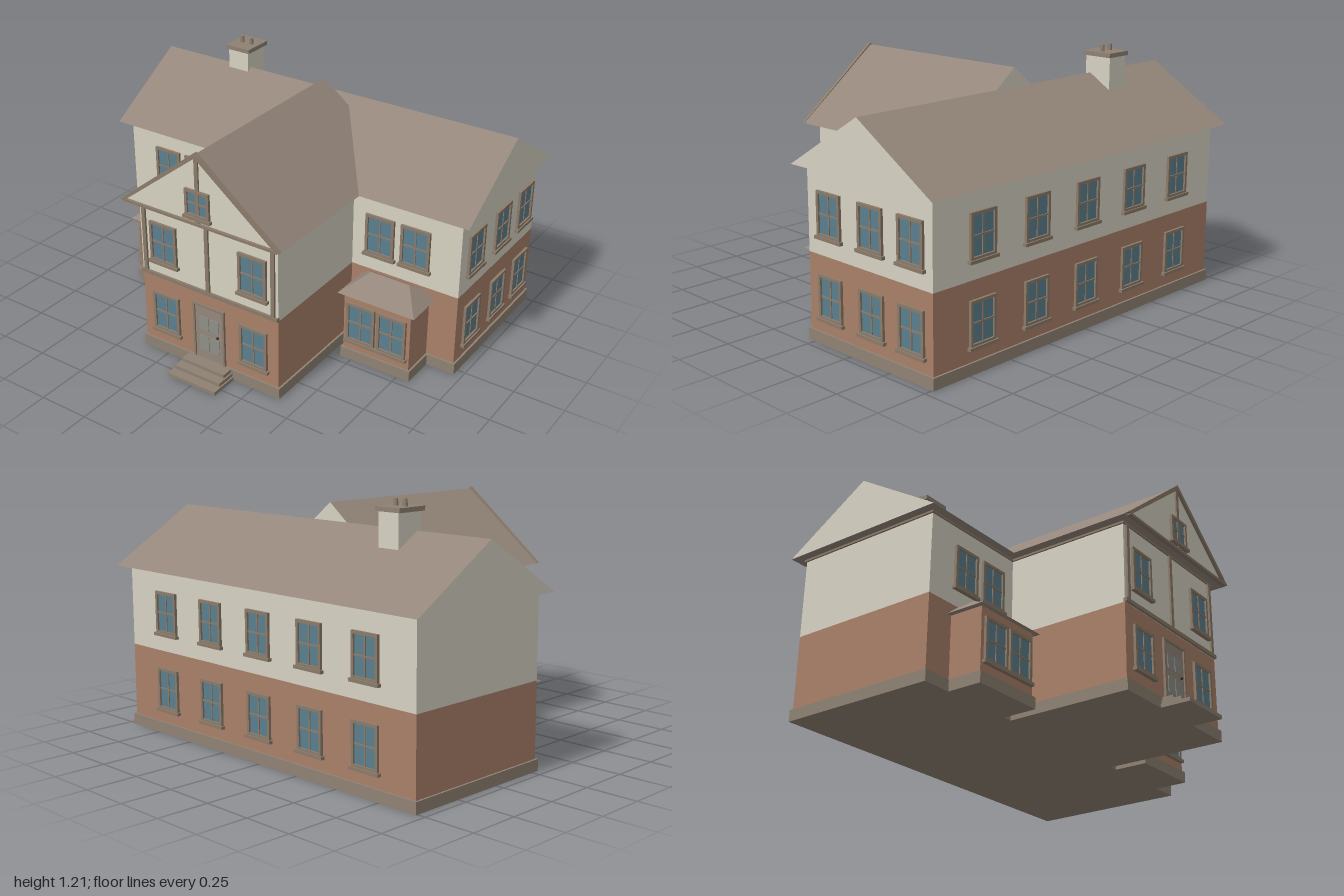
import * as THREE from 'three';
import { ConvexGeometry } from 'three/addons/geometries/ConvexGeometry.js';

const mat = (name, color) => {
  const m = new THREE.MeshStandardMaterial({ color });
  m.name = name;
  return m;
};

export function createModel() {
  const house = new THREE.Group();
  house.name = 'house';
  const brick = mat('brick', 0xa98069);
  const cream = mat('cream render', 0xd6d3c3);
  const roofing = mat('roof tile', 0x94867a);
  const trim = mat('timber trim', 0x8b7b6a);
  const stone = mat('stone', 0x8f8273);
  const glass = mat('window glass', 0x5b7f8e);
  const doorPaint = mat('door paint', 0x93877a);
  const panelPaint = mat('door panel', 0x8f9088);
  const metal = mat('dark metal', 0x3c352e);

  const add = (name, geo, material, parent = house) => {
    const m = new THREE.Mesh(geo, material);
    m.name = name;
    parent.add(m);
    return m;
  };
  // box given by its extents on each axis
  const box = (name, material, [x0, x1], [y0, y1], [z0, z1], parent) => {
    const g = new THREE.BoxGeometry(x1 - x0, y1 - y0, z1 - z0);
    g.translate((x0 + x1) / 2, (y0 + y1) / 2, (z0 + z1) / 2);
    return add(name, g, material, parent);
  };
  // extruded outline from z0 to z1
  const extrude = (points, z0, z1) => {
    const shape = new THREE.Shape(points.map(([x, y]) => new THREE.Vector2(x, y)));
    const g = new THREE.ExtrudeGeometry(shape, { depth: z1 - z0, bevelEnabled: false });
    return g.translate(0, 0, z0);
  };

  // Walls: main block and projecting front wing
  const blocks = [
    ['main', 0.95, -0.75, 0.03],
    ['wing', 0.385, -0.1, 0.645],
  ];
  for (const [n, hx, z0, z1] of blocks) {
    box(n + 'Plinth', stone, [-hx - 0.01, hx + 0.01], [0, 0.055], [z0 - 0.01, z1 + 0.01]);
    box(n + 'LowerWall', brick, [-hx, hx], [0.055, 0.412], [z0, z1]);
    box(n + 'UpperWall', cream, [-hx, hx], [0.412, 0.796], [z0, z1]);
    box(n + 'EavesBand', trim, [-hx - 0.008, hx + 0.008], [0.796, 0.806], [z0 - 0.008, z1 + 0.008]);
  }

  // Roofs: rendered gable ends, tiled slopes
  const mainRoof = extrude([[-0.44, 0.806], [0.44, 0.806], [0, 1.076]], -1, 1);
  mainRoof.rotateY(Math.PI / 2).translate(0, 0, -0.362);
  add('mainRoof', mainRoof, [cream, roofing]);
  add('wingRoof', extrude([[-0.44, 0.806], [0.44, 0.806], [0, 1.152]], -0.305, 0.698), [cream, roofing]);

  // Gable timbers
  add('bargeboards', extrude([[-0.44, 0.808], [-0.415, 0.808], [0, 1.134], [0.415, 0.808],
    [0.44, 0.808], [0, 1.16]], 0.695, 0.712), trim);
  box('gableTieBeam', trim, [-0.425, 0.425], [0.802, 0.814], [0.69, 0.712]);
  box('gablePost', trim, [-0.01, 0.01], [0.812, 1.13], [0.69, 0.706]);
  for (const x of [-0.36, 0, 0.36]) {
    box('wallPost', trim, [x - 0.01, x + 0.01], [0.43, 0.8], [0.64, 0.655]);
  }
  box('wallBeam', trim, [-0.387, 0.387], [0.414, 0.432], [0.64, 0.657]);

  // Window: glass, frame, glazing bars and sill, facing +z before turning
  const addWindow = (x, y, z, turn = 0, w = 0.152, h = 0.205) => {
    const g = new THREE.Group();
    g.name = 'window';
    g.position.set(x, y, z);
    g.rotation.y = turn;
    const a = w / 2, b = h / 2, t = 0.014;
    box('pane', glass, [-a + t, a - t], [-b + t, b - t], [0, 0.004], g);
    for (const s of [-1, 1]) {
      const e = s * (a - t / 2), f = s * (b - t / 2);
      box('frameSide', trim, [e - t / 2, e + t / 2], [-b, b], [-0.002, 0.013], g);
      box('frameRail', trim, [-a + t, a - t], [f - t / 2, f + t / 2], [-0.002, 0.013], g);
    }
    box('verticalBar', trim, [-0.004, 0.004], [-b + t, b - t], [0, 0.008], g);
    box('crossBar', trim, [-a + t, a - t], [-0.004, 0.004], [0, 0.009], g);
    box('sill', trim, [-a - 0.009, a + 0.009], [-b - 0.012, -b + 0.003], [-0.002, 0.02], g);
    house.add(g);
  };
  const lowY = 0.225, highY = 0.602;
  for (const s of [-1, 1]) {
    for (const x of [0.533, 0.72]) addWindow(s * x, highY, 0.03);
    for (const y of [lowY, highY]) addWindow(s * 0.25, y, 0.645);
    for (const x of [0.545, 0.71]) addWindow(s * x, 0.212, 0.2);
  }
  for (const y of [lowY, highY]) {
    for (const z of [-0.115, -0.382, -0.627]) addWindow(0.95, y, z, Math.PI / 2);
    for (const x of [-0.67, -0.335, 0, 0.335, 0.67]) addWindow(x, y, -0.75, Math.PI);
  }
  addWindow(0, 0.908, 0.698, 0, 0.132, 0.132);

  // Ground floor bays with hipped roofs
  for (const s of [-1, 1]) {
    const c = s * 0.628;
    box('bayPlinth', stone, [c - 0.187, c + 0.187], [0, 0.055], [0, 0.21]);
    box('bayWall', brick, [c - 0.177, c + 0.177], [0.055, 0.356], [0, 0.2]);
    const pts = [];
    for (const i of [-1, 1]) {
      for (const z of [-0.04, 0.222]) pts.push(new THREE.Vector3(c + i * 0.203, 0.356, z));
      pts.push(new THREE.Vector3(c + i * 0.102, 0.438, 0.091));
    }
    add('bayRoof', new ConvexGeometry(pts), roofing);
  }

  // Front door
  const door = new THREE.Group();
  door.name = 'frontDoor';
  door.position.z = 0.645;
  house.add(door);
  box('doorLeaf', doorPaint, [-0.08, 0.08], [0.055, 0.342], [-0.002, 0.005], door);
  for (const s of [-1, 1]) {
    box('doorJamb', trim, [s * 0.084 - 0.005, s * 0.084 + 0.005], [0.055, 0.352], [-0.002, 0.012], door);
    for (const [y0, y1] of [[0.1, 0.18], [0.215, 0.285]]) {
      box('doorPanel', panelPaint, [s * 0.03 - 0.026, s * 0.03 + 0.026], [y0, y1], [0.004, 0.008], door);
    }
  }
  box('doorHead', trim, [-0.089, 0.089], [0.342, 0.352], [-0.002, 0.012], door);
  const knob = add('doorKnob', new THREE.SphereGeometry(0.007, 12, 8), metal, door);
  knob.position.set(0.052, 0.2, 0.012);

  // Entrance steps
  [[0.137, 0.8], [0.13, 0.755], [0.122, 0.71]].forEach(([hx, z], i) => {
    box('step', stone, [-hx, hx], [i * 0.018, (i + 1) * 0.018], [0.64, z]);
  });

  // Chimney with two pots
  box('chimneyStack', cream, [-0.597, -0.48], [0.95, 1.162], [-0.48, -0.336]);
  box('chimneyCap', stone, [-0.609, -0.468], [1.16, 1.181], [-0.488, -0.328]);
  for (const x of [-0.566, -0.511]) {
    add('chimneyPot', new THREE.CylinderGeometry(0.011, 0.012, 0.035, 16), stone).position.set(x, 1.196, -0.408);
  }

  return house;
}
